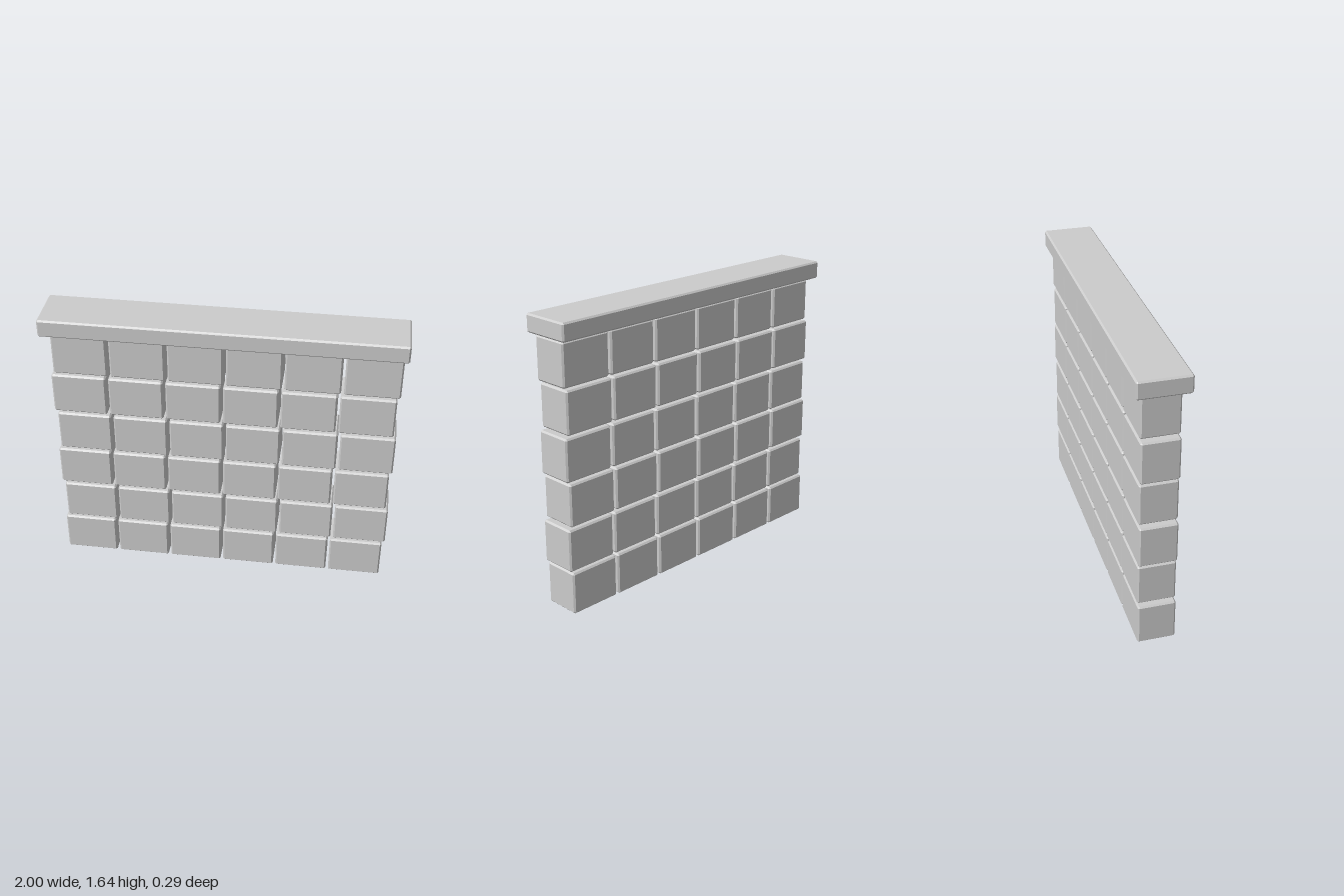
import * as THREE from 'three';
import { ConvexGeometry } from 'three/addons/geometries/ConvexGeometry.js';

// Box with all edges and corners chamfered by c, centred on the origin
function chamferedBox(w, h, d, c) {
  const points = [];
  for (const sx of [-1, 1]) for (const sy of [-1, 1]) for (const sz of [-1, 1]) {
    const x = w / 2, y = h / 2, z = d / 2;
    points.push(
      new THREE.Vector3(sx * x, sy * (y - c), sz * (z - c)),
      new THREE.Vector3(sx * (x - c), sy * y, sz * (z - c)),
      new THREE.Vector3(sx * (x - c), sy * (y - c), sz * z)
    );
  }
  return new ConvexGeometry(points);
}

export function createModel() {
  const wall = new THREE.Group();
  wall.name = 'stoneWall';
  const stone = new THREE.MeshStandardMaterial({ color: 0xcccccc, flatShading: true });

  const rows = 6, columns = 6;
  const blockW = 0.307, blockH = 0.244, blockD = 0.213;
  const pitchX = 0.3225, pitchY = 0.258, shift = 0.016;

  // Courses of separate blocks, every second course shifted sideways
  const blockGeometry = chamferedBox(blockW, blockH, blockD, 0.009);
  for (let r = 0; r < rows; r++) {
    const course = new THREE.Group();
    course.name = `course${r + 1}`;
    course.position.set(r % 2 ? shift : 0, blockH / 2 + r * pitchY, 0);
    for (let i = 0; i < columns; i++) {
      const block = new THREE.Mesh(blockGeometry, stone);
      block.name = `block${i + 1}`;
      block.position.x = (i - (columns - 1) / 2) * pitchX;
      course.add(block);
    }
    wall.add(course);
  }

  // Overhanging coping slab
  const coping = new THREE.Mesh(chamferedBox(2, 0.102, 0.291, 0.009), stone);
  coping.name = 'copingSlab';
  coping.position.y = 1.594;
  wall.add(coping);

  return wall;
}
